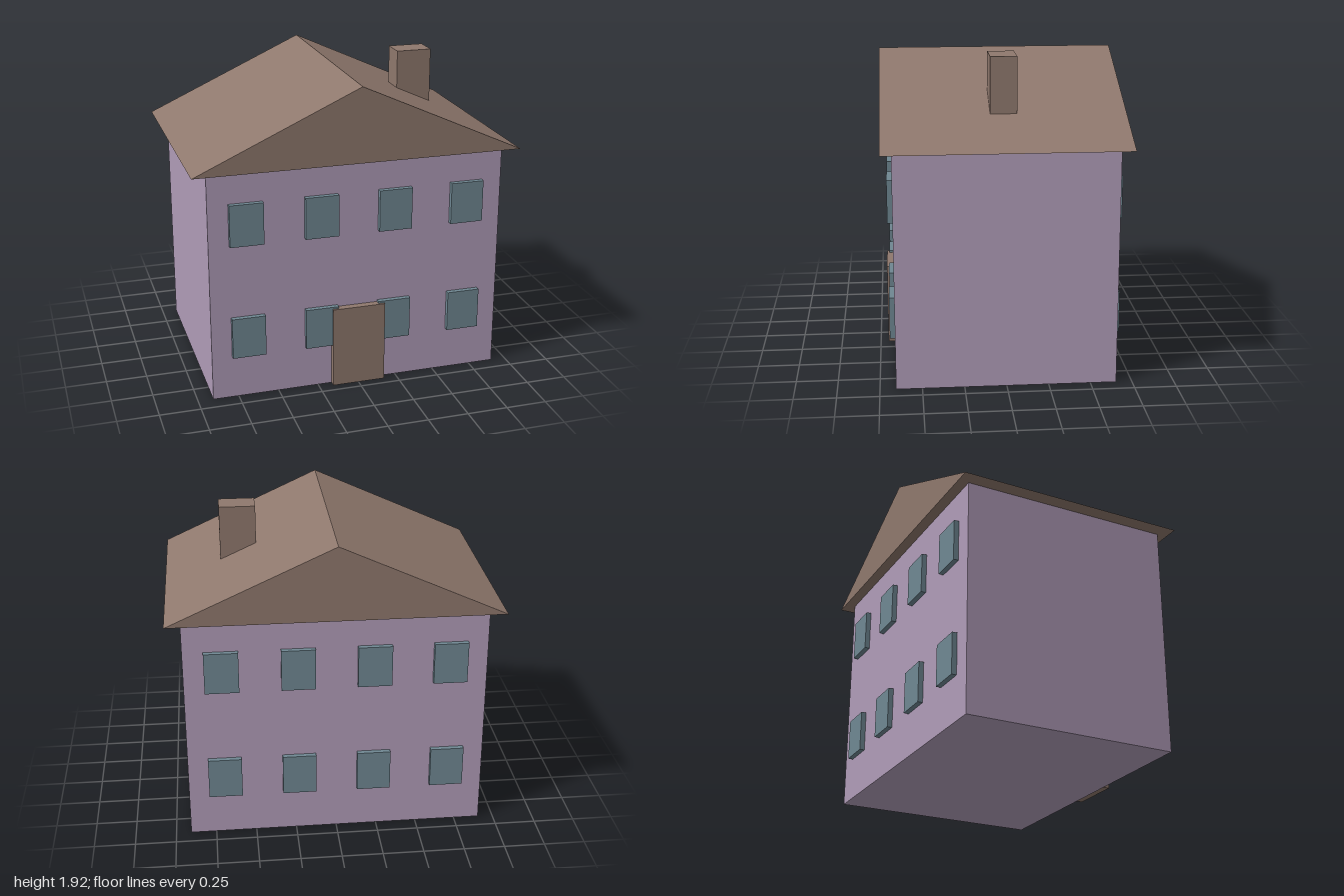
import * as THREE from 'three';

const material = (name, color) => {
  const m = new THREE.MeshStandardMaterial({ color });
  m.name = name;
  return m;
};

export function createModel() {
  const house = new THREE.Group();
  house.name = 'house';
  const lilac = material('lilac wall', 0xb09cb8);
  const brown = material('brown', 0x8f786d);
  const blue = material('blue-grey glass', 0x6f8792);

  // Box given by its extents on each axis
  const box = (name, mat, [x0, x1], [y0, y1], [z0, z1]) => {
    const mesh = new THREE.Mesh(new THREE.BoxGeometry(x1 - x0, y1 - y0, z1 - z0), mat);
    mesh.position.set((x0 + x1) / 2, (y0 + y1) / 2, (z0 + z1) / 2);
    mesh.name = name;
    house.add(mesh);
  };

  box('walls', lilac, [-0.907, 0.907], [0, 1.435], [-0.655, 0.655]);
  box('door', brown, [-0.164, 0.164], [0.003, 0.513], [0.64, 0.7]);
  box('chimney', brown, [0.435, 0.655], [1.5, 1.925], [-0.079, 0.079]);

  // Gabled roof with overhanging eaves
  const gable = new THREE.Shape([
    new THREE.Vector2(-1, 1.433),
    new THREE.Vector2(1, 1.433),
    new THREE.Vector2(0, 1.89),
  ]);
  const roof = new THREE.Mesh(
    new THREE.ExtrudeGeometry(gable, { depth: 1.44, bevelEnabled: false }), brown);
  roof.position.z = -0.72;
  roof.name = 'roof';
  house.add(roof);

  // Two rows of four windows on the front and the back
  for (const side of [1, -1]) {
    const z = side > 0 ? [0.64, 0.686] : [-0.686, -0.64];
    for (const [y0, y1] of [[0.27, 0.525], [0.982, 1.24]]) {
      for (const x of [-0.682, -0.228, 0.228, 0.682]) {
        box(side > 0 ? 'frontWindow' : 'backWindow', blue, [x - 0.102, x + 0.102], [y0, y1], z);
      }
    }
  }
  return house;
}
